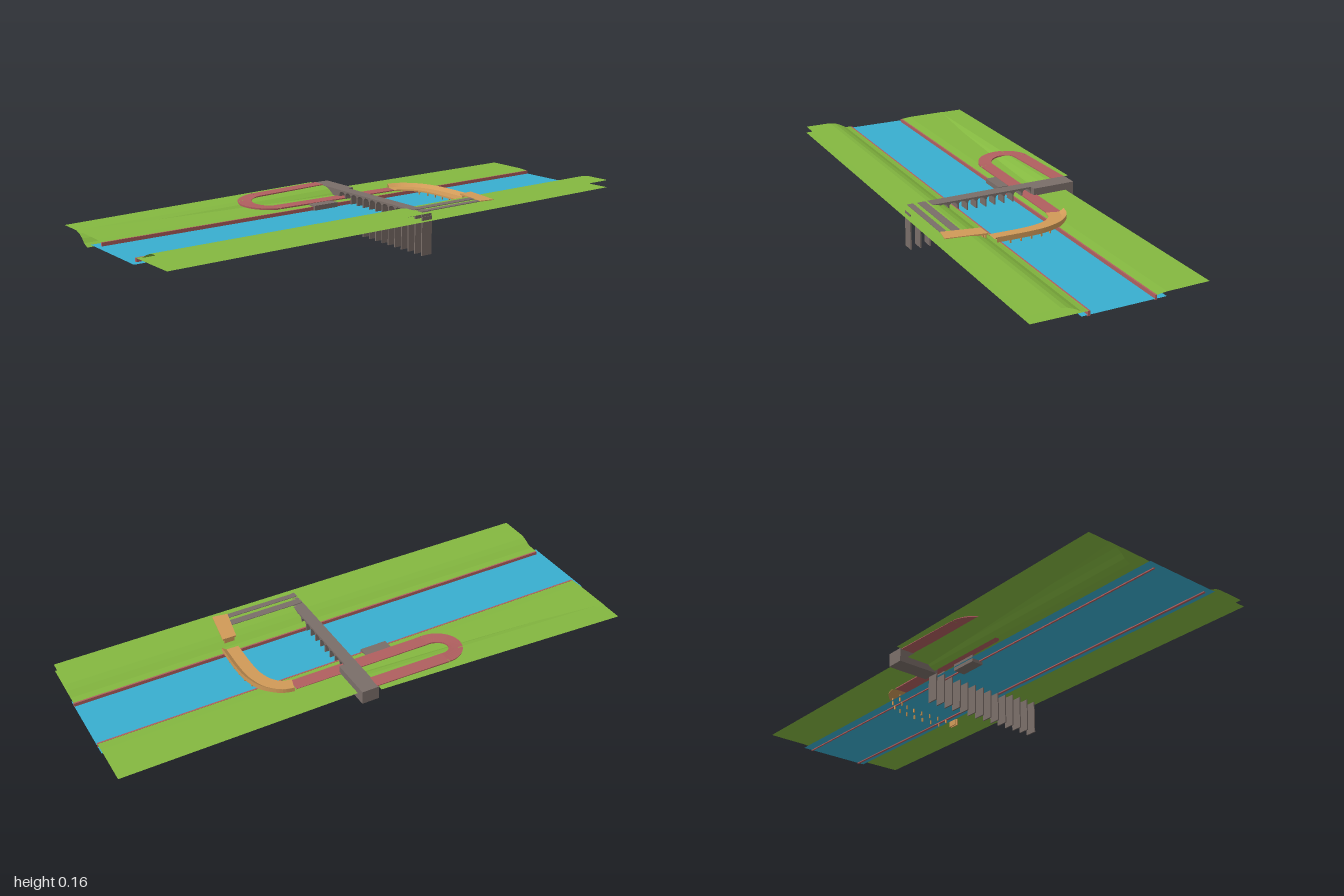
import * as THREE from 'three';

const mat = (name, color, side = THREE.DoubleSide) => {
  const m = new THREE.MeshStandardMaterial({ color, side });
  m.name = name;
  return m;
};
const V = (x, y, z) => new THREE.Vector3(x, y, z);

// Flat-shaded surface through rows of points (all rows the same length)
function loft(rows, closed = false) {
  const pos = [];
  for (let i = 0; i < rows.length - 1; i++) {
    const n = rows[i].length;
    for (let j = 0; j < (closed ? n : n - 1); j++) {
      const a = rows[i][j], b = rows[i][(j + 1) % n];
      const c = rows[i + 1][(j + 1) % n], d = rows[i + 1][j];
      for (const p of [a, b, c, a, c, d]) pos.push(p.x, p.y, p.z);
    }
  }
  const g = new THREE.BufferGeometry();
  g.setAttribute('position', new THREE.Float32BufferAttribute(pos, 3));
  g.computeVertexNormals();
  return g;
}

// Cross-section of [x, y] points stretched between two z values, with an end shift
const strip = (profile, z0, z1, dx = 0, dy = 0) => loft([
  profile.map(([x, y]) => V(x + dx, y + dy, z1)),
  profile.map(([x, y]) => V(x, y, z0)),
]);

// Sweep a section of [sideways, up] points along a path
function sweep(path, section, steps) {
  const rows = [];
  for (let i = 0; i <= steps; i++) {
    const p = path.getPoint(i / steps), t = path.getTangent(i / steps);
    const l = Math.hypot(t.x, t.z);
    rows.push(section.map(([s, h]) => V(p.x - s * t.z / l, p.y + h, p.z + s * t.x / l)));
  }
  return loft(rows, true);
}

export function createModel() {
  const model = new THREE.Group();
  const grass = mat('grass green', 0x84b840);
  const blue = mat('water blue', 0x38aecf);
  const stone = mat('stone grey', 0x7a6e69);
  const red = mat('path red', 0xb05f5f);
  const wood = mat('timber tan', 0xd09a58);
  const add = (name, geo, m, parent = model) => {
    const mesh = new THREE.Mesh(geo, m);
    mesh.name = name;
    parent.add(mesh);
    return mesh;
  };
  const box = (name, m, x0, x1, y0, y1, z0, z1, parent) => {
    const g = new THREE.BoxGeometry(x1 - x0, y1 - y0, z1 - z0);
    g.translate((x0 + x1) / 2, (y0 + y1) / 2, (z0 + z1) / 2);
    return add(name, g, m, parent);
  };

  // River and its quay walls
  add('river', strip([[-0.12, 0.113], [0.185, 0.113]], -1, 1), blue);
  box('rightQuayWall', red, -0.083, -0.077, 0.109, 0.126, -1, 0.98);
  box('leftQuayWall', red, 0.154, 0.163, 0.109, 0.126, -1, 0.98);

  // Low meadows on both banks
  add('rightMeadow', strip([[-0.28, 0.13], [-0.12, 0.129], [-0.08, 0.125]], -1, 0.98), grass);
  add('leftMeadow', strip([[0.16, 0.126], [0.36, 0.128]], -1, 0.98), grass);

  // Raised left embankment
  add('leftEmbankment', strip([[0.163, 0.126], [0.185, 0.13], [0.21, 0.144], [0.235, 0.154],
    [0.255, 0.157], [0.36, 0.157]], -1, 0.97), grass);

  // Raised right embankment, sinking toward the front
  add('rightEmbankment', strip([[-0.33, 0.156], [-0.235, 0.156], [-0.212, 0.149], [-0.192, 0.136],
    [-0.178, 0.122], [-0.155, 0.112]], -0.045, 0.98, -0.036, -0.027), grass);

  // Bridge: abutment, arched spans and tall piers
  const bridge = new THREE.Group();
  bridge.name = 'bridge';
  model.add(bridge);
  box('abutment', stone, -0.313, -0.145, 0.105, 0.157, -0.112, -0.045, bridge);
  const first = -0.145, gap = 0.0373, spans = 13, end = first + gap * spans;
  const side = new THREE.Shape();
  side.moveTo(first, 0.14);
  for (let i = 0; i < spans; i++) {
    const a = first + i * gap + 0.003, w = gap - 0.006;
    side.lineTo(a, 0.14);
    side.bezierCurveTo(a, 0.155, a + w, 0.155, a + w, 0.14);
  }
  side.lineTo(end, 0.14);
  side.lineTo(end, 0.157);
  side.lineTo(first, 0.157);
  const spanGeo = new THREE.ExtrudeGeometry(side, { depth: 0.045, bevelEnabled: false, curveSegments: 8 });
  add('archedSpans', spanGeo.translate(0, 0, -0.09), stone, bridge);
  for (let i = 0; i <= spans; i++) {
    const x = first + i * gap;
    box('pier', stone, x - 0.0025, x + 0.0025, 0, 0.141, -0.09, -0.045, bridge);
  }
  // Two narrow gangways leading back to the landing
  box('gangway', stone, 0.265, 0.295, 0.153, 0.159, -0.345, -0.05);
  box('gangway', stone, 0.312, 0.335, 0.153, 0.159, -0.345, -0.05);

  // Timber landing on the left bank
  const pad = new THREE.Shape([[0.197, 0.412], [0.197, 0.358], [0.335, 0.33], [0.345, 0.388]]
    .map(([x, y]) => new THREE.Vector2(x, y)));
  const padGeo = new THREE.ExtrudeGeometry(pad, { depth: 0.006, bevelEnabled: false });
  add('landing', padGeo.rotateX(-Math.PI / 2).translate(0, 0.154, 0), wood);
  for (const x of [0.201, 0.21]) box('landingPost', wood, x - 0.002, x + 0.002, 0.1, 0.156, -0.405, -0.365);

  // Curved timber walkway with an outer parapet
  const walk = new THREE.CatmullRomCurve3([V(-0.132, 0.132, -0.29), V(-0.12, 0.132, -0.33),
    V(-0.08, 0.132, -0.37), V(-0.02, 0.132, -0.392), V(0.04, 0.132, -0.398), V(0.17, 0.132, -0.396)]);
  add('walkway', sweep(walk, [[-0.032, -0.006], [0.032, -0.006], [0.032, 0], [-0.015, 0],
    [-0.032, 0.013]], 28), wood);
  for (let i = 0; i < 8; i++) {
    const p = walk.getPointAt(0.16 + i * 0.115);
    for (const dz of [-0.025, 0.022])
      box('walkwayPost', wood, p.x - 0.0025, p.x + 0.0025, 0.097, 0.13, p.z + dz - 0.0025, p.z + dz + 0.0025);
  }

  // Red footpath: straight stretch, then a looping ramp up to the abutment
  const section = [[-0.026, -0.006], [0.026, -0.006], [0.026, 0], [-0.026, 0]];
  const ramp = new THREE.CurvePath();
  const low = V(-0.13, 0.131, -0.29), turnIn = V(-0.137, 0.133, 0.25);
  add('footpath', sweep(new THREE.LineCurve3(low, turnIn), section, 1), red);
  const turn = [];
  for (let i = 0; i <= 16; i++) {
    const a = Math.PI * i / 16;
    turn.push(V(-0.209 + 0.073 * Math.cos(a), 0.133 + 0.02 * i / 16, 0.25 + 0.08 * Math.sin(a)));
  }
  add('footpathTurn', sweep(new THREE.CatmullRomCurve3(turn), section, 24), red);
  add('footpathRamp', sweep(new THREE.LineCurve3(turn[16], V(-0.282, 0.159, -0.05)), section, 1), red);

  // Small stone jetty at the water's edge
  box('jetty', stone, -0.115, -0.068, 0.1, 0.131, 0.02, 0.125);

  return model;
}
